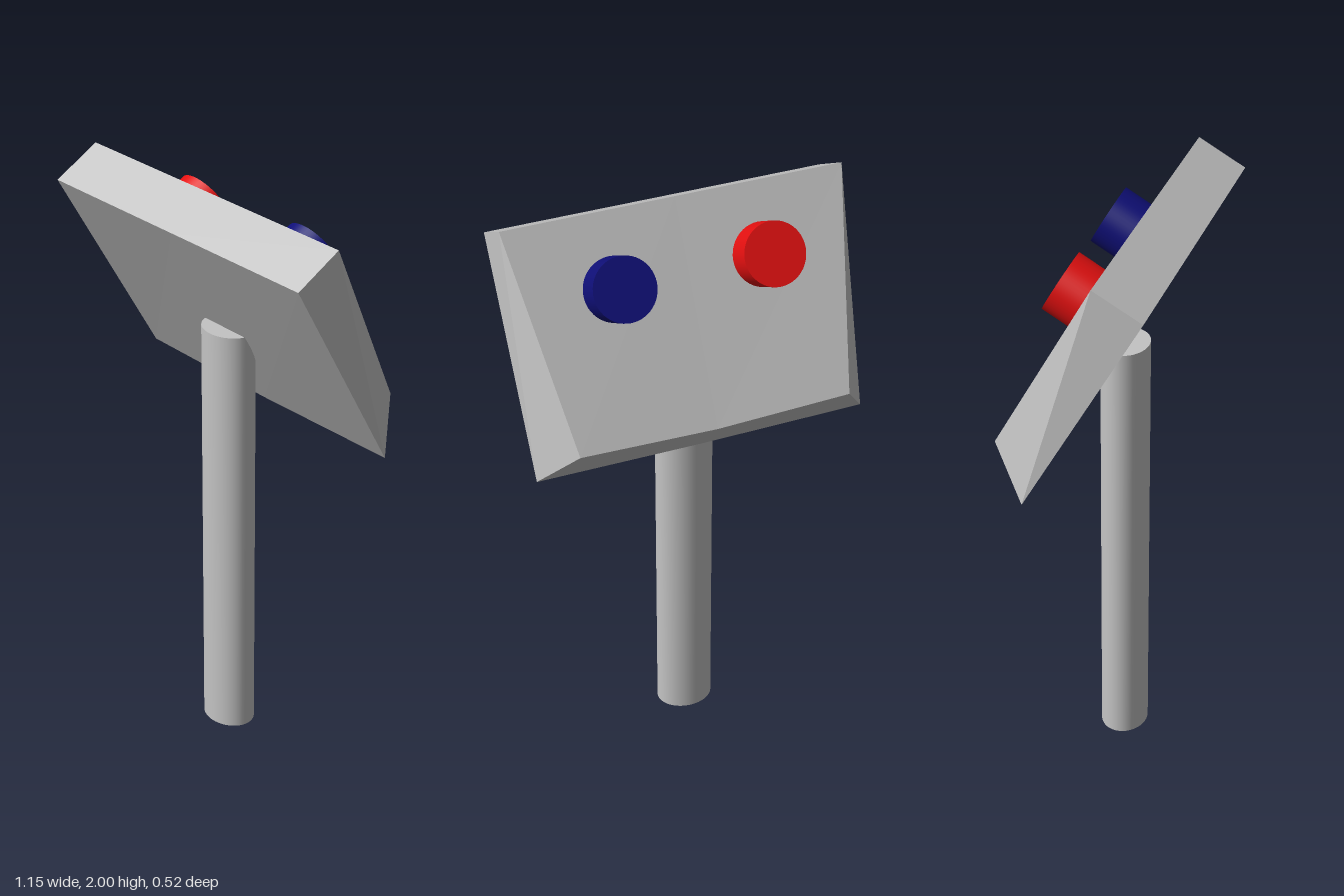
import * as THREE from 'three';

export function createModel() {
  const model = new THREE.Group();
  const grey = new THREE.MeshStandardMaterial({ name: 'grey metal', color: 0xc4c4c4 });
  const red = new THREE.MeshStandardMaterial({ name: 'button red', color: 0xe41010 });
  const blue = new THREE.MeshStandardMaterial({ name: 'button blue', color: 0x0f0f78 });

  // Oval post
  const post = new THREE.Mesh(new THREE.CylinderGeometry(1, 1, 1.52, 48), grey);
  post.name = 'post';
  post.scale.set(0.098, 1, 0.08);
  post.position.set(0, 0.76, 0.025);
  model.add(post);

  // Tilted panel: sections run front top, back top, back bottom, front bottom
  const end = (s) => [[s * 0.575, 1.912, 0.258], [s * 0.575, 2, 0.098],
    [s * 0.462, 1.36, -0.258], [s * 0.568, 1.213, -0.135]];
  const middle = [[0, 1.912, 0.258], [0, 2, 0.098], [0, 1.347, -0.26], [0, 1.207, -0.133]];
  const sections = [end(-1), middle, end(1)];
  const points = [];
  const tri = (...corners) => corners.forEach((c) => points.push(...c));
  for (let i = 0; i < 2; i++) {
    const p = sections[i], q = sections[i + 1];
    for (let j = 0; j < 4; j++) {
      const k = (j + 1) % 4;
      tri(p[j], q[j], q[k]);
      tri(p[j], q[k], p[k]);
    }
  }
  // Panel sides
  const [a, b, c, d] = sections[0];
  tri(b, c, d);
  tri(b, d, a);
  const [e, f, g, h] = sections[2];
  tri(f, h, g);
  tri(f, e, h);
  const panelGeometry = new THREE.BufferGeometry();
  panelGeometry.setAttribute('position', new THREE.Float32BufferAttribute(points, 3));
  panelGeometry.computeVertexNormals();
  const panel = new THREE.Mesh(panelGeometry, grey);
  panel.name = 'panel';
  model.add(panel);

  // Round buttons standing square to the back of the panel
  const normal = new THREE.Vector3(0, 0.49, -0.872).normalize();
  const addButton = (name, material, x, y, z) => {
    const depth = 0.12;
    const button = new THREE.Mesh(new THREE.CylinderGeometry(0.104, 0.104, depth, 48), material);
    button.name = name;
    button.quaternion.setFromUnitVectors(new THREE.Vector3(0, 1, 0), normal);
    button.position.set(x, y, z).addScaledVector(normal, -depth / 2);
    model.add(button);
  };
  addButton('redButton', red, -0.257, 1.845, -0.104);
  addButton('blueButton', blue, 0.248, 1.838, -0.112);

  return model;
}
